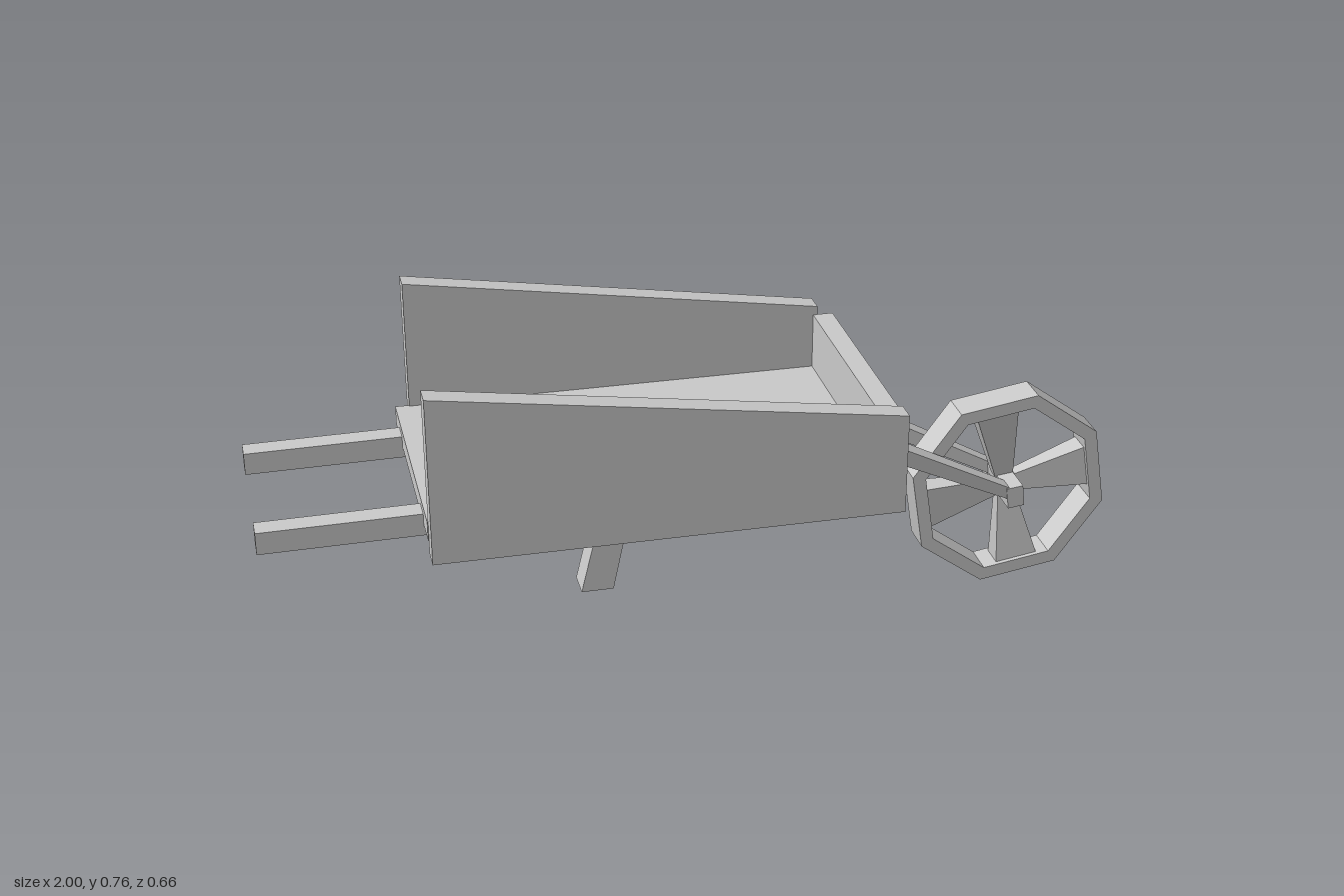
import * as THREE from 'three';

const material = new THREE.MeshStandardMaterial({ color: 0xcccccc, flatShading: true });

function addMesh(parent, name, geometry) {
  const mesh = new THREE.Mesh(geometry, material);
  mesh.name = name;
  parent.add(mesh);
  return mesh;
}

// Axis-aligned box given by its [min, max] range on each axis
function addBox(parent, name, [x0, x1], [y0, y1], [z0, z1]) {
  const mesh = addMesh(parent, name, new THREE.BoxGeometry(x1 - x0, y1 - y0, z1 - z0));
  mesh.position.set((x0 + x1) / 2, (y0 + y1) / 2, (z0 + z1) / 2);
  return mesh;
}

// Outline in x and y, given depth from z0 to z1
function addPlate(parent, name, points, z0, z1, hole) {
  const shape = new THREE.Shape(points.map(([x, y]) => new THREE.Vector2(x, y)));
  if (hole) shape.holes.push(new THREE.Path(hole.map(([x, y]) => new THREE.Vector2(x, y))));
  const geometry = new THREE.ExtrudeGeometry(shape, { depth: z1 - z0, bevelEnabled: false });
  return addMesh(parent, name, geometry.translate(0, 0, z0));
}

// Tapered beam along x: each end has a centre and a [height, depth] section
function taperedBeam(a, sizeA, b, sizeB) {
  const geometry = new THREE.BoxGeometry(1, 1, 1);
  const p = geometry.attributes.position;
  for (let i = 0; i < p.count; i++) {
    const [c, s] = p.getX(i) < 0 ? [a, sizeA] : [b, sizeB];
    p.setXYZ(i, c[0], c[1] + p.getY(i) * s[0], c[2] + p.getZ(i) * s[1]);
  }
  geometry.computeVertexNormals();
  return geometry;
}

function octagon(radius, phase) {
  return Array.from({ length: 8 }, (_, i) => {
    const a = phase + (i * Math.PI) / 4;
    return [radius * Math.cos(a), radius * Math.sin(a)];
  });
}

export function createModel() {
  const model = new THREE.Group();
  model.name = 'wheelbarrow';

  // Tray: open at the handle end
  const tray = new THREE.Group();
  tray.name = 'tray';
  model.add(tray);
  addBox(tray, 'floor', [-0.642, 0.38], [0.41, 0.455], [-0.285, 0.285]);
  addBox(tray, 'frontBoard', [0.36, 0.408], [0.41, 0.589], [-0.282, 0.282]);
  addPlate(tray, 'leftSide', [[-0.64, 0.375], [0.405, 0.375], [0.405, 0.61], [-0.64, 0.762]], 0.28, 0.33);
  addPlate(tray, 'rightSide', [[-0.61, 0.375], [0.37, 0.375], [0.37, 0.61], [-0.61, 0.762]], -0.33, -0.28);

  // Single slanted leg under the middle
  addPlate(model, 'leg', [[-0.27, 0.09], [-0.195, 0.09], [-0.125, 0.42], [-0.19, 0.42]], -0.035, 0.035);

  // Handles and fork arms, mirrored
  for (const side of [1, -1]) {
    const label = side > 0 ? 'left' : 'right';
    addMesh(model, label + 'Handle',
      taperedBeam([-1, 0.407, side * 0.188], [0.052, 0.05], [-0.47, 0.412, side * 0.188], [0.052, 0.05]));
    addMesh(model, label + 'ForkArm',
      taperedBeam([0.37, 0.442, side * 0.091], [0.045, 0.056], [0.75, 0.248, side * 0.066], [0.03, 0.04]));
  }

  // Wheel: octagonal rim, flared spokes and square axle
  const wheel = new THREE.Group();
  wheel.name = 'wheel';
  wheel.position.set(0.757, 0.24, 0.004);
  model.add(wheel);
  const phase = THREE.MathUtils.degToRad(31.5);
  addPlate(wheel, 'rim', octagon(0.246, phase), -0.04, 0.04, octagon(0.213, phase));
  for (let i = 0; i < 4; i++) {
    const spoke = addMesh(wheel, 'spoke',
      taperedBeam([0.026, 0, 0], [0.044, 0.03], [0.212, 0, 0], [0.106, 0.06]));
    spoke.rotation.z = THREE.MathUtils.degToRad(10 + i * 90);
  }
  const axle = addMesh(wheel, 'axle', new THREE.BoxGeometry(0.04, 0.052, 0.18));
  axle.position.set(0, 0.003, -0.004);
  axle.rotation.z = 0.12;

  return model;
}
